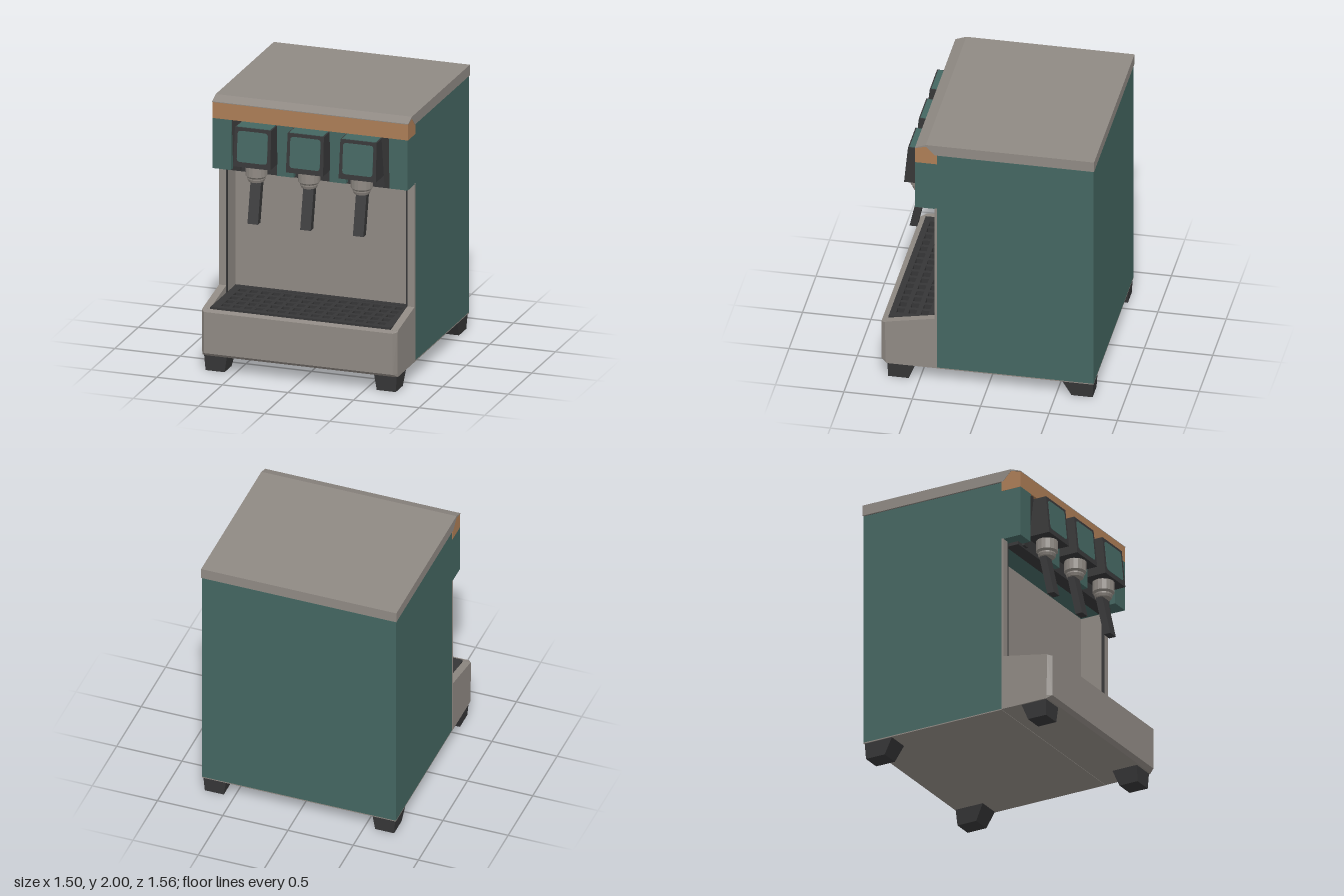
import * as THREE from 'three';
import { ConvexGeometry } from 'three/addons/geometries/ConvexGeometry.js';

const material = (name, color) => {
  const m = new THREE.MeshStandardMaterial({ color });
  m.name = name;
  return m;
};

export function createModel() {
  const steel = material('warm grey steel', 0x8f8983);
  const teal = material('teal panel', 0x446661);
  const copper = material('copper trim', 0xac7d56);
  const black = material('black plastic', 0x363637);

  const model = new THREE.Group();
  model.name = 'drinkDispenser';

  const add = (name, geometry, mat, parent = model) => {
    const mesh = new THREE.Mesh(geometry, mat);
    mesh.name = name;
    parent.add(mesh);
    return mesh;
  };
  // Box given by its limits
  const box = (name, mat, x0, x1, y0, y1, z0, z1, parent) => {
    const mesh = add(name, new THREE.BoxGeometry(x1 - x0, y1 - y0, z1 - z0), mat, parent);
    mesh.position.set((x0 + x1) / 2, (y0 + y1) / 2, (z0 + z1) / 2);
    return mesh;
  };
  // Solid between two rectangles [x0, x1, z0, z1] at heights y0 and y1
  const frustum = (name, mat, y0, a, y1, b, parent) => {
    const pts = [];
    for (const [y, r] of [[y0, a], [y1, b]])
      for (const x of [r[0], r[1]]) for (const z of [r[2], r[3]]) pts.push(new THREE.Vector3(x, y, z));
    return add(name, new ConvexGeometry(pts), mat, parent);
  };
  // Side profile of [z, y] points extruded across x
  const prism = (name, mat, profile, x0, x1) => {
    const shape = new THREE.Shape(profile.map(([z, y]) => new THREE.Vector2(z, y)));
    const g = new THREE.ExtrudeGeometry(shape, { depth: x1 - x0, bevelEnabled: false });
    g.translate(0, 0, (x0 - x1) / 2).rotateY(-Math.PI / 2);
    const mesh = add(name, g, mat);
    mesh.position.x = (x0 + x1) / 2;
    return mesh;
  };

  // Cabinet with an open recess at the front
  box('cabinetRear', teal, -0.742, 0.742, 0.125, 1.915, -0.775, 0.19);
  box('cabinetTop', teal, -0.742, 0.742, 1.45, 1.915, 0.19, 0.37);
  box('cabinetLower', teal, -0.742, 0.742, 0.125, 0.41, 0.19, 0.37);
  box('basePlate', steel, -0.742, 0.742, 0.117, 0.125, -0.775, 0.37);
  box('backSplash', steel, -0.69, 0.69, 0.41, 1.45, 0.19, 0.2);
  box('recessFloor', steel, -0.69, 0.69, 0.41, 0.42, 0.2, 0.74);
  for (const s of [-1, 1]) {
    const side = (name, mat, a, b, ...rest) => box(name, mat, Math.min(s * a, s * b), Math.max(s * a, s * b), ...rest);
    side('cabinetCheek', teal, 0.692, 0.742, 0.41, 1.45, 0.19, 0.37);
    side('recessWall', steel, 0.686, 0.692, 0.41, 1.45, 0.2, 0.37);
    side('frontPost', steel, 0.69, 0.745, 0.5, 1.47, 0.37, 0.388);
    side('postSeal', black, 0.682, 0.69, 0.48, 1.45, 0.37, 0.392);
  }

  // Lid and copper band
  prism('lid', steel, [[-0.78, 1.92], [0.385, 1.92], [0.45, 1.985], [0.53, 1.965], [0.53, 1.97], [0.45, 2], [-0.78, 2]], -0.748, 0.748);
  box('lidSeam', black, -0.735, 0.735, 1.91, 1.925, -0.77, 0.37);
  prism('copperBand', copper, [[0.37, 1.845], [0.53, 1.845], [0.53, 1.965], [0.45, 1.985], [0.385, 1.92], [0.37, 1.92]], -0.746, 0.746);

  // Dispensing head
  box('headBacking', black, -0.66, 0.66, 1.44, 1.845, 0.36, 0.46);
  for (const s of [-1, 1]) {
    const span = (a, b, z0, z1) => [Math.min(s * a, s * b), Math.max(s * a, s * b), z0, z1];
    frustum('headEnd', teal, 1.465, span(0.605, 0.744, 0.37, 0.53), 1.845, span(0.6, 0.744, 0.37, 0.53));
    frustum('headEndLiner', black, 1.45, span(0.55, 0.605, 0.37, 0.48), 1.845, span(0.54, 0.6, 0.37, 0.52));
    box('headDivider', teal, s * 0.2 - 0.062, s * 0.2 + 0.062, 1.452, 1.845, 0.37, 0.5);
  }

  // Rounded face plate shared by the taps
  const h = 0.115, r = 0.025, plate = new THREE.Shape();
  plate.moveTo(-h + r, -h).lineTo(h - r, -h).quadraticCurveTo(h, -h, h, -h + r)
    .lineTo(h, h - r).quadraticCurveTo(h, h, h - r, h)
    .lineTo(-h + r, h).quadraticCurveTo(-h, h, -h, h - r)
    .lineTo(-h, -h + r).quadraticCurveTo(-h, -h, -h + r, -h);
  const plateGeo = new THREE.ExtrudeGeometry(plate, { depth: 0.006, bevelEnabled: false, curveSegments: 4 });
  const nozzleGeo = new THREE.LatheGeometry(
    [[0, 1.415], [0.058, 1.415], [0.066, 1.435], [0.066, 1.445], [0.08, 1.46], [0.08, 1.545]].map(p => new THREE.Vector2(...p)), 16).toNonIndexed();
  nozzleGeo.computeVertexNormals();

  // Three taps
  for (const x of [-0.402, 0, 0.402]) {
    const tap = new THREE.Group();
    tap.name = 'tap';
    tap.position.x = x;
    model.add(tap);
    frustum('tapHousing', black, 1.54, [-0.142, 0.142, 0.45, 0.65], 1.83, [-0.138, 0.138, 0.45, 0.622], tap);
    const face = add('tapFace', plateGeo, teal, tap);
    face.position.set(0, 1.692, 0.633);
    face.rotation.x = -Math.atan2(0.028, 0.29);
    box('tapTop', teal, -0.128, 0.128, 1.828, 1.834, 0.46, 0.612, tap);
    add('nozzle', nozzleGeo, steel, tap).position.z = 0.55;
    frustum('lever', black, 1.11, [-0.04, 0.04, 0.575, 0.63], 1.43, [-0.04, 0.04, 0.505, 0.56], tap);
  }

  // Drip tray
  for (const x of [-0.7175, 0.7175])
    prism('traySide', steel, [[0.37, 0.12], [0.74, 0.12], [0.74, 0.47], [0.37, 0.54]], x - 0.0275, x + 0.0275);
  const front = [];
  for (const x of [-1, 1])
    for (const [px, y, z] of [[0.745, 0.12, 0.738], [0.745, 0.47, 0.738], [0.745, 0.145, 0.745], [0.745, 0.463, 0.75],
      [0.715, 0.12, 0.75], [0.72, 0.145, 0.78], [0.72, 0.457, 0.78]])
      front.push(new THREE.Vector3(x * px, y, z));
  add('trayFront', new ConvexGeometry(front), steel);
  box('trayBottom', steel, -0.69, 0.69, 0.12, 0.145, 0.37, 0.74);

  // Drip grate
  const grate = new THREE.Group();
  grate.name = 'dripGrate';
  model.add(grate);
  box('grateFront', black, -0.688, 0.688, 0.425, 0.485, 0.69, 0.735, grate);
  box('grateBack', black, -0.688, 0.688, 0.425, 0.485, 0.2, 0.24, grate);
  for (const s of [-1, 1]) box('grateEnd', black, s * 0.656 - 0.031, s * 0.656 + 0.031, 0.425, 0.484, 0.21, 0.73, grate);
  for (let i = 0; i < 5; i++) {
    const z = 0.62 - i * 0.09;
    box('grateCrossBar', black, -0.64, 0.64, 0.425, 0.483, z - 0.017, z + 0.017, grate);
  }
  for (let i = 0; i < 14; i++) {
    const x = (i - 6.5) * 0.085;
    box('grateBar', black, x - 0.014, x + 0.014, 0.425, 0.482, 0.22, 0.71, grate);
  }

  // Feet, tapered on their inner sides
  for (const s of [-1, 1]) {
    const span = (a, b, z0, z1) => [Math.min(s * a, s * b), Math.max(s * a, s * b), z0, z1];
    frustum('frontFoot', black, 0, span(0.58, 0.725, 0.58, 0.73), 0.125, span(0.56, 0.735, 0.53, 0.735));
    frustum('rearFoot', black, 0, span(0.58, 0.725, -0.765, -0.61), 0.125, span(0.56, 0.735, -0.77, -0.54));
  }
  return model;
}
